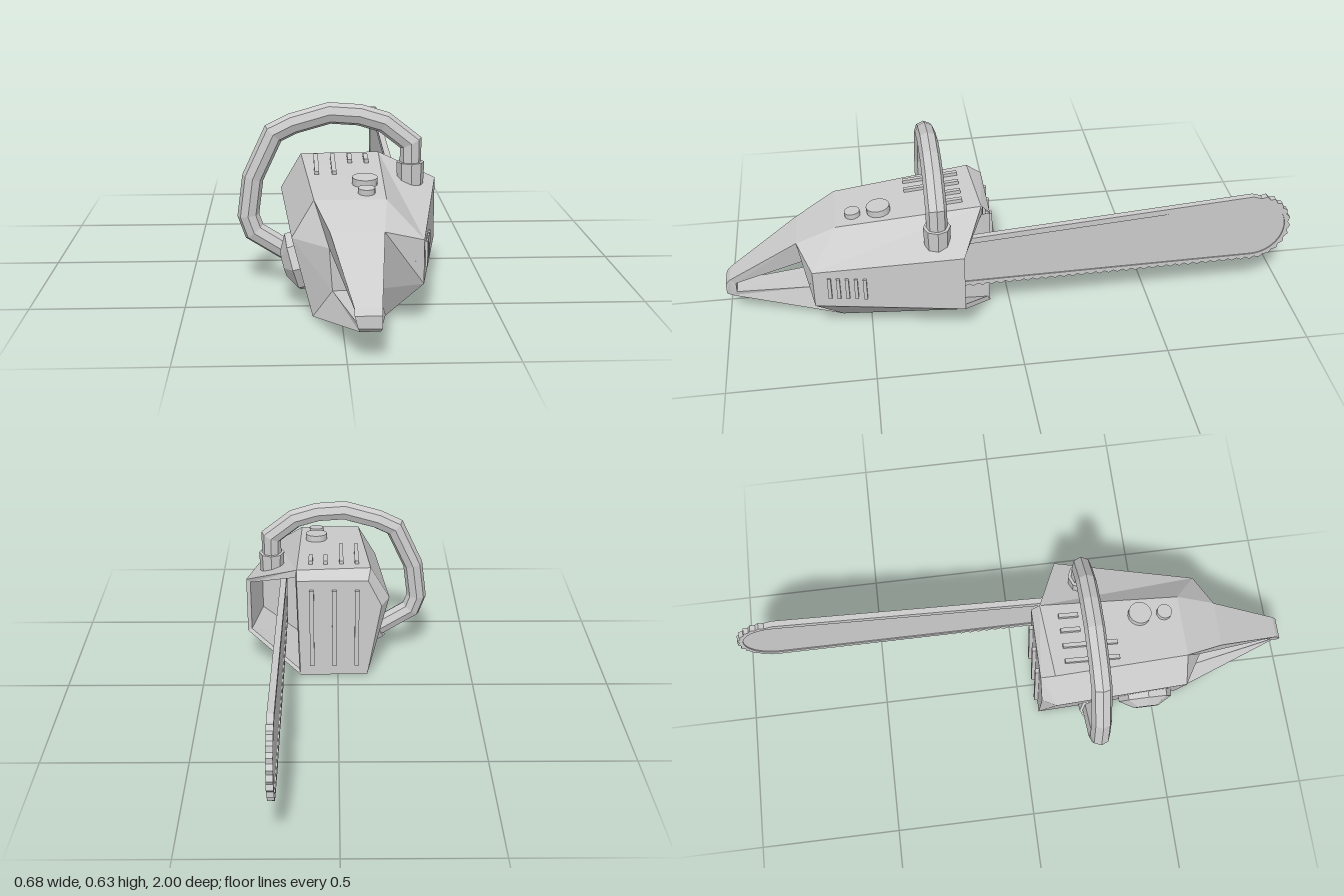
import * as THREE from 'three';

const grey = new THREE.MeshStandardMaterial({ color: 0xcccccc });
grey.name = 'plain grey';
grey.side = THREE.DoubleSide;
grey.flatShading = true;

function add(group, name, geometry) {
  const mesh = new THREE.Mesh(geometry, grey);
  mesh.name = name;
  group.add(mesh);
  return mesh;
}

// Flat-faced mesh from named corners and faces listing them
function faceted(points, faces) {
  const out = [];
  for (const face of faces) {
    const f = typeof face === 'string' ? face.split(' ') : face;
    for (let i = 1; i < f.length - 1; i++) out.push(...points[f[0]], ...points[f[i]], ...points[f[i + 1]]);
  }
  const g = new THREE.BufferGeometry();
  g.setAttribute('position', new THREE.Float32BufferAttribute(out, 3));
  g.computeVertexNormals();
  return g;
}

function cylinder(group, name, rTop, rBottom, h, sides, pos, dir = [0, 1, 0]) {
  const m = add(group, name, new THREE.CylinderGeometry(rTop, rBottom, h, sides));
  m.position.set(...pos);
  m.quaternion.setFromUnitVectors(new THREE.Vector3(0, 1, 0), new THREE.Vector3(...dir).normalize());
  return m;
}

function box(group, name, size, pos, rot = [0, 0, 0]) {
  const m = add(group, name, new THREE.BoxGeometry(...size));
  m.position.set(...pos);
  m.rotation.set(...rot);
  return m;
}

// Faceted casing, open at the back where the bar enters, with the pincer-shaped rear grip
function casing() {
  const p = {
    // back plate
    A0: [-0.11, 0.40, 0.07], B0: [0.15, 0.40, 0.07], G0: [-0.16, 0.30, 0.07],
    // back ring
    A1: [-0.12, 0.43, 0.12], B1: [0.15, 0.43, 0.10], C1: [0.34, 0.355, 0.18], D1: [0.34, 0.14, 0.18],
    E1: [0.14, 0.01, 0.07], F1: [-0.11, 0.01, 0.07], G1: [-0.19, 0.31, 0.12],
    // front ring
    A2: [-0.085, 0.385, 0.60], B2: [0.14, 0.385, 0.60], C2: [0.25, 0.28, 0.69], D2: [0.25, 0.14, 0.69],
    E2: [0.14, 0.006, 0.60], F2: [-0.09, 0.006, 0.60], G2: [-0.155, 0.265, 0.60],
    // roots of the grip arms
    P: [-0.04, 0.32, 0.74], Q: [0.125, 0.32, 0.74], H: [-0.04, 0.25, 0.67], K: [0.11, 0.25, 0.66],
    J: [-0.03, 0.11, 0.66], L: [0.11, 0.115, 0.66],
    // grip tip
    R: [0.02, 0.168, 0.985], S: [0.1, 0.168, 0.985], r: [0.024, 0.15, 0.965], s: [0.098, 0.15, 0.965],
    R3: [0.02, 0.15, 1], S3: [0.1, 0.15, 1], V3: [0.03, 0.112, 1], W3: [0.1, 0.112, 1],
    V: [0.035, 0.098, 0.985], W: [0.095, 0.098, 0.985], t: [0.03, 0.115, 0.965], u: [0.1, 0.115, 0.965],
    // lining of the bar opening
    b: [0.155, 0.40, 0.10], c: [0.325, 0.343, 0.18], d: [0.325, 0.148, 0.18], e: [0.145, 0.03, 0.08],
    b2: [0.155, 0.38, 0.35], c2: [0.29, 0.325, 0.35], d2: [0.29, 0.155, 0.35], e2: [0.145, 0.04, 0.35],
  };
  const faces = [
    'B0 E1 F1 G0 A0', 'A0 A1 B1 B0', 'A0 G0 G1 A1', 'G0 F1 G1',
    'A2 P Q B2', 'B2 Q C2', 'A2 G2 H P', 'G2 F2 J H', 'Q K L D2 C2', 'D2 L E2', 'H J L K',
    'P R S Q', 'Q S s K', 'P H r R', 'H K s r',
    'J t u L', 'J F2 V t', 'L u W E2', 'F2 E2 W V',
    'R R3 S3 S', 'R3 V3 W3 S3', 'V3 V W W3', 'r s u t', 'S S3 W3 W u s', 'R r t V V3 R3',
    'B1 b c C1', 'C1 c d D1', 'D1 d e E1', 'B0 b e E1',
    'b b2 c2 c', 'c c2 d2 d', 'd d2 e2 e', 'e e2 b2 b', 'b2 e2 d2 c2',
  ];
  const ring = 'ABCDEFG';
  for (let i = 0; i < 7; i++) {
    const a = ring[i], n = ring[(i + 1) % 7];
    faces.push([a + '1', a + '2', n + '2', n + '1']);
  }
  return faceted(p, faces);
}

// Bent eight-sided tube lying in one z plane, mitred at every corner
function bentTube(path, z, radius) {
  const pts = path.map(([x, y]) => new THREE.Vector2(x, y));
  const points = {}, faces = [], n = 8, last = pts.length - 1;
  pts.forEach((p, i) => {
    const d1 = pts[Math.max(i, 1)].clone().sub(pts[Math.max(i, 1) - 1]).normalize();
    const d2 = pts[Math.min(i + 1, last)].clone().sub(pts[Math.min(i, last - 1)]).normalize();
    const d = d1.clone().add(d2).normalize();
    const k = radius / d.dot(d1);
    for (let j = 0; j < n; j++) {
      const a = (j / n) * Math.PI * 2, w = Math.cos(a) * k;
      points[i * n + j] = [p.x - d.y * w, p.y + d.x * w, z + Math.sin(a) * radius];
      if (i < last) {
        const q = i * n + (j + 1) % n;
        faces.push([i * n + j, q, q + n, i * n + j + n]);
      }
    }
  });
  return faceted(points, faces);
}

// Bar outline in (-z, y); tooth is the height of the scallops along the tip and lower edge
function barOutline(inset, tooth) {
  const pts = [new THREE.Vector2(-0.3, 0.332 - inset), new THREE.Vector2(0.85, 0.42 - inset)];
  const r = 0.135 - inset, arc = 24, low = 72;
  for (let i = 1; i <= arc; i++) {
    const a = Math.PI / 2 - (i / arc) * Math.PI, k = r - (i % 2 ? tooth : 0);
    pts.push(new THREE.Vector2(0.865 + Math.cos(a) * k, 0.285 + Math.sin(a) * k));
  }
  for (let i = 1; i <= low; i++) {
    const t = i / low;
    pts.push(new THREE.Vector2(0.865 - 1.165 * t, 0.15 - 0.014 * t + inset + (i % 2 ? tooth : 0)));
  }
  return pts;
}

function plate(shape, thickness) {
  const g = new THREE.ExtrudeGeometry(shape, { depth: thickness, bevelEnabled: false });
  return g.translate(0, 0, -thickness / 2).rotateY(Math.PI / 2).translate(0.203, 0, 0);
}

export function createModel() {
  const model = new THREE.Group();
  model.name = 'chainsaw';
  add(model, 'casing', casing());

  // Guide bar with the toothed chain around its edge
  add(model, 'guideBar', plate(new THREE.Shape(barOutline(0.02, 0)), 0.014));
  const chain = new THREE.Shape(barOutline(0, 0.009));
  chain.holes.push(new THREE.Path(barOutline(0.022, 0).reverse()));
  add(model, 'chain', plate(chain, 0.022));

  // Wrap-around handle and its two sleeves
  const path = [[0.247, 0.36], [0.247, 0.495], [0.158, 0.565], [0.075, 0.59], [-0.025, 0.597], [-0.148, 0.562],
    [-0.213, 0.53], [-0.283, 0.38], [-0.3, 0.25], [-0.28, 0.193], [-0.1, 0.08]];
  add(model, 'frontHandle', bentTube(path, 0.262, 0.036));
  cylinder(model, 'upperSleeve', 0.047, 0.044, 0.075, 8, [0.247, 0.392, 0.262]);
  cylinder(model, 'lowerSleeve', 0.047, 0.047, 0.05, 8, [-0.137, 0.103, 0.262], [-0.85, 0.53, 0]);

  // Starter cover on the sloping side
  const out = [-0.964, -0.266, 0];
  cylinder(model, 'starterRim', 0.098, 0.1, 0.03, 8, [-0.137, 0.148, 0.46], out);
  cylinder(model, 'starterCap', 0.045, 0.098, 0.03, 8, [-0.166, 0.14, 0.46], out);

  // Ribs along the top, two long and two short
  const slope = 0.094;
  [[-0.07, 0.195], [-0.013, 0.195], [0.045, 0.07], [0.1, 0.07]].forEach(([x, len]) => {
    const z = 0.16 + len / 2;
    box(model, 'topRib', [0.015, 0.024, len], [x, 0.43 - (z - 0.12) * slope, z], [slope, 0, 0]);
  });
  // Ribs on the back plate
  for (const x of [-0.07, 0.013, 0.096]) box(model, 'backRib', [0.016, 0.31, 0.024], [x, 0.21, 0.068]);

  // Filler caps on the top
  cylinder(model, 'largeCap', 0.041, 0.041, 0.035, 16, [0.082, 0.405, 0.45], [0, 1, slope]);
  cylinder(model, 'smallCap', 0.027, 0.027, 0.028, 16, [0.082, 0.395, 0.54], [0, 1, slope]);

  // Vent bars on the side wall
  for (let i = 0; i < 5; i++) {
    const z = 0.515 + i * 0.03;
    box(model, 'sideVent', [0.014, 0.082, 0.012], [0.34 - 0.176 * (z - 0.18), 0.22, z], [0, -0.174, 0]);
  }

  // Controls on the recessed front panel
  const panelZ = x => 0.69 - (0.25 - x) * 0.215;
  const facing = [-0.21, 0, 0.98];
  cylinder(model, 'roundButton', 0.014, 0.014, 0.018, 12, [0.18, 0.217, panelZ(0.18) + 0.006], facing);
  cylinder(model, 'smallButton', 0.009, 0.009, 0.022, 10, [0.216, 0.216, panelZ(0.216) + 0.006], facing);
  box(model, 'switch', [0.031, 0.018, 0.018], [0.199, 0.183, panelZ(0.199) + 0.004], [0, -0.21, 0]);

  return model;
}
